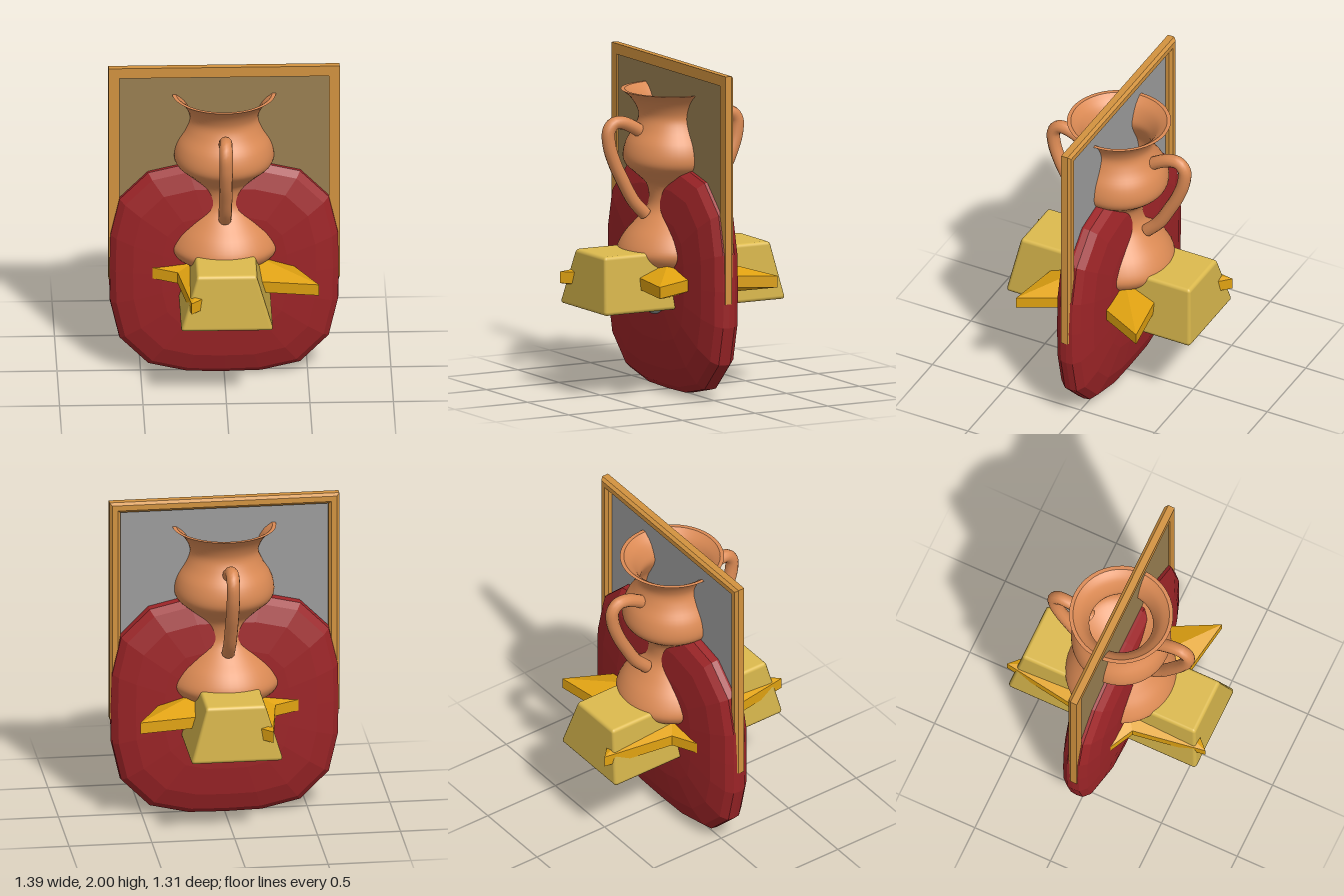
import * as THREE from 'three';
import { RoundedBoxGeometry } from 'three/addons/geometries/RoundedBoxGeometry.js';

const mat = (name, color, flatShading = false, side = THREE.FrontSide) => {
  const m = new THREE.MeshStandardMaterial({ color, flatShading, side });
  m.name = name;
  return m;
};

// Non-indexed geometry from a list of triangles, each three [x, y, z] corners
function fromTriangles(tris) {
  const g = new THREE.BufferGeometry();
  g.setAttribute('position', new THREE.Float32BufferAttribute(tris.flat(2), 3));
  g.computeVertexNormals();
  return g;
}

// Pillow: a coarse sphere squared off into a superellipsoid
function cushionGeometry() {
  const g = new THREE.SphereGeometry(1, 20, 12);
  g.rotateX(Math.PI / 2);
  const p = g.attributes.position;
  for (let i = 0; i < p.count; i++) {
    const x = p.getX(i), y = p.getY(i), z = p.getZ(i);
    const r = Math.hypot(x, y);
    const s = 1 / Math.pow(Math.pow(r, 3) + Math.pow(Math.abs(z), 3), 1 / 3);
    let q = 0;
    if (r > 1e-5) {
      const c = Math.abs(x / r), d = Math.abs(y / r);
      q = 1 / Math.pow(Math.pow(c, 3.3) + Math.pow(d, 3.3), 1 / 3.3);
    }
    p.setXYZ(i, x * s * q * 0.69, y * s * q * 0.69, z * s * 0.146);
  }
  g.computeVertexNormals();
  return g;
}

// Five-pointed star with a narrow rim wall and a raised centre on both faces
function starGeometry() {
  const tris = [], edge = 0.035, peak = 0.145;
  const at = (i, h) => {
    const r = i % 2 ? 0.69 : 0.35, a = (i * Math.PI) / 5;
    return [r * Math.cos(a), h, r * Math.sin(a)];
  };
  for (let i = 0; i < 10; i++) {
    const a = at(i, edge), b = at(i + 1, edge), c = at(i, -edge), d = at(i + 1, -edge);
    tris.push([[0, peak, 0], b, a], [[0, -peak, 0], c, d], [a, b, c], [b, d, c]);
  }
  return fromTriangles(tris);
}

// Ingot: rounded box tapered towards the top
function ingotGeometry() {
  const g = new RoundedBoxGeometry(0.56, 0.34, 1.246, 3, 0.022);
  const p = g.attributes.position;
  for (let i = 0; i < p.count; i++) {
    const t = p.getY(i) / 0.34 + 0.5;
    p.setX(i, p.getX(i) * (1 - 0.37 * t));
    p.setZ(i, p.getZ(i) * (1 - 0.085 * t));
  }
  return g.toNonIndexed();
}

// Square moulding: a profile of (inset, depth) swept round four sides
function frameGeometry(half) {
  const profile = [[0, -0.012], [0, 0.03], [0.065, 0.03], [0.065, -0.012],
    [0.048, -0.03], [0.015, -0.03], [0, -0.012]];
  const pts = profile.map(([i, z]) => new THREE.Vector2((half - i) * Math.SQRT2, z));
  const g = new THREE.LatheGeometry(pts, 4, Math.PI / 4);
  g.rotateX(Math.PI / 2);
  return g;
}

const spline = (pts, n) =>
  new THREE.SplineCurve(pts.map(([x, y]) => new THREE.Vector2(x, y))).getPoints(n);

export function createModel() {
  const model = new THREE.Group();
  const clay = mat('terracotta', 0xdb8a54, false, THREE.DoubleSide);
  const red = mat('red cloth', 0x9c2427, true);
  const wood = mat('frame wood', 0xd3933f, true, THREE.DoubleSide);
  const canvas = mat('brown canvas', 0x9a8052);
  const grey = mat('grey backing', 0x9c9c9c);
  const steel = mat('grey ball', 0x8c9494);
  const gold = mat('pale gold', 0xdcba4e);
  const amber = mat('deep gold', 0xe0a211, true);

  const add = (name, geometry, material, x = 0, y = 0, z = 0) => {
    const m = new THREE.Mesh(geometry, material);
    m.name = name;
    m.position.set(x, y, z);
    model.add(m);
    return m;
  };

  add('cushion', cushionGeometry(), red, 0, 0.69, 0);

  // Picture frame standing through the cushion
  add('pictureFrame', frameGeometry(0.693), wood, 0, 1.307, 0);
  add('pictureFront', new THREE.PlaneGeometry(1.27, 1.27), canvas, 0, 1.307, 0.02);
  const back = add('pictureBack', new THREE.PlaneGeometry(1.27, 1.27), grey, 0, 1.307, 0.012);
  back.rotation.y = Math.PI;

  // Vase: outer wall, then lip and inner wall
  const outer = spline([[0.22, 0.74], [0.29, 0.775], [0.328, 0.82], [0.333, 0.87], [0.29, 0.95],
    [0.22, 1.03], [0.16, 1.1], [0.143, 1.17], [0.16, 1.25], [0.22, 1.31], [0.285, 1.37],
    [0.3, 1.43], [0.28, 1.51], [0.232, 1.59], [0.206, 1.66], [0.22, 1.72], [0.26, 1.78],
    [0.312, 1.822]], 70);
  const inner = spline([[0.29, 1.822], [0.24, 1.78], [0.205, 1.72], [0.192, 1.66], [0.22, 1.59],
    [0.262, 1.51], [0.28, 1.43], [0.265, 1.38], [0.2, 1.33], [0.1, 1.28], [0, 1.27]], 40);
  add('vaseBody', new THREE.LatheGeometry(outer, 48), clay);
  add('vaseInside', new THREE.LatheGeometry(inner, 48), clay);
  add('vaseLip', new THREE.RingGeometry(0.289, 0.312, 48).rotateX(-Math.PI / 2), clay, 0, 1.822, 0);
  add('vaseBase', new THREE.CircleGeometry(0.22, 48).rotateX(Math.PI / 2), clay, 0, 0.74, 0);

  // Two looping handles, front and back
  const loop = [[0.2, 1.565], [0.28, 1.615], [0.35, 1.643], [0.405, 1.642], [0.44, 1.6],
    [0.437, 1.51], [0.4, 1.4], [0.34, 1.28], [0.27, 1.16], [0.19, 1.075]];
  for (const s of [1, -1]) {
    const path = new THREE.CatmullRomCurve3(loop.map(([z, y]) => new THREE.Vector3(0, y, z * s)));
    add(s > 0 ? 'frontHandle' : 'backHandle', new THREE.TubeGeometry(path, 48, 0.04, 12), clay);
  }

  add('ball', new THREE.SphereGeometry(0.27, 32, 20), steel, 0, 0.695, 0);
  add('goldIngot', ingotGeometry(), gold, 0, 0.7, 0);
  add('star', starGeometry(), amber, 0, 0.697, 0);

  return model;
}
